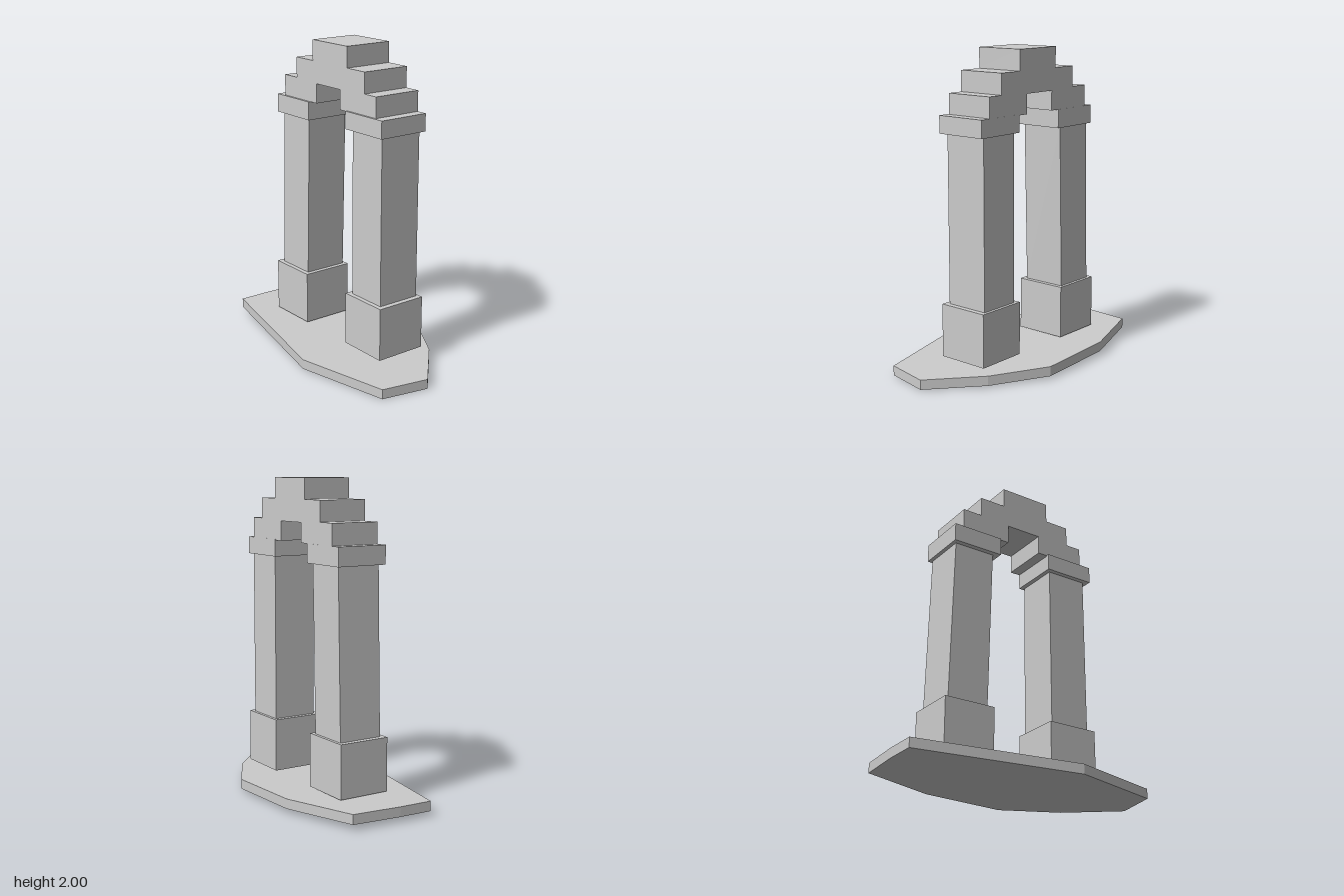
import * as THREE from 'three';

const material = new THREE.MeshStandardMaterial({ color: 0xcccccc, flatShading: true });

function add(group, name, geometry) {
  geometry.computeVertexNormals();
  const mesh = new THREE.Mesh(geometry, material);
  mesh.name = name;
  group.add(mesh);
}

// Box given by its limits; the top may be shifted along z to make it lean
function block([x0, x1], [y0, y1], [z0, z1], lean = 0) {
  const g = new THREE.BoxGeometry(x1 - x0, y1 - y0, z1 - z0);
  const p = g.attributes.position;
  for (let i = 0; i < p.count; i++) if (p.getY(i) > 0) p.setZ(i, p.getZ(i) + lean);
  return g.translate((x0 + x1) / 2, (y0 + y1) / 2, (z0 + z1) / 2);
}

function pillar(name, plinthZ, shaftZ, capitalZ, capitalY, lean) {
  const g = new THREE.Group();
  g.name = name;
  add(g, 'plinth', block([-0.135, 0.205], [0.1, 0.44], plinthZ));
  add(g, 'shaft', block([-0.105, 0.185], [0.44, capitalY[0]], shaftZ, lean));
  add(g, 'capital', block([-0.138, 0.202], capitalY, capitalZ));
  return g;
}

export function createModel() {
  const model = new THREE.Group();
  model.name = 'ruinedArch';

  // Irregular ground slab, slightly tilted (outline as x, z)
  const outline = [[-0.25, -0.85], [-0.03, -0.845], [0.29, -0.817], [0.445, -0.34], [0.46, 0.2],
    [0.26, 0.55], [-0.02, 0.845], [-0.32, 0.78], [-0.465, 0.18]];
  const slab = new THREE.ExtrudeGeometry(
    new THREE.Shape(outline.map(([x, z]) => new THREE.Vector2(x, -z))),
    { depth: 0.062, bevelEnabled: false });
  slab.rotateX(-Math.PI / 2);
  const p = slab.attributes.position;
  for (let i = 0; i < p.count; i++) {
    p.setY(i, p.getY(i) + 0.018 - 0.019 * p.getZ(i) + 0.009 * p.getX(i));
  }
  add(model, 'groundSlab', slab);

  // Two pillars, the back one leaning inwards
  model.add(pillar('frontPillar', [0.19, 0.53], [0.22, 0.495], [0.19, 0.53], [1.502, 1.612], 0));
  model.add(pillar('backPillar', [-0.565, -0.225], [-0.53, -0.255], [-0.527, -0.187], [1.488, 1.606], 0.028));

  // Stepped arch profile (-z, y), extruded across the width
  const profile = [[-0.46, 1.606], [-0.12, 1.606], [-0.12, 1.73], [0.12, 1.73], [0.12, 1.606], [0.46, 1.606],
    [0.46, 1.74], [0.33, 1.74], [0.33, 1.87], [0.157, 1.87], [0.157, 2], [-0.187, 2], [-0.187, 1.87],
    [-0.353, 1.87], [-0.353, 1.74], [-0.46, 1.74]];
  const arch = new THREE.ExtrudeGeometry(
    new THREE.Shape(profile.map(([u, y]) => new THREE.Vector2(u, y))),
    { depth: 0.325, bevelEnabled: false });
  arch.rotateY(Math.PI / 2).translate(-0.124, 0, 0);
  add(model, 'steppedArch', arch);

  return model;
}
